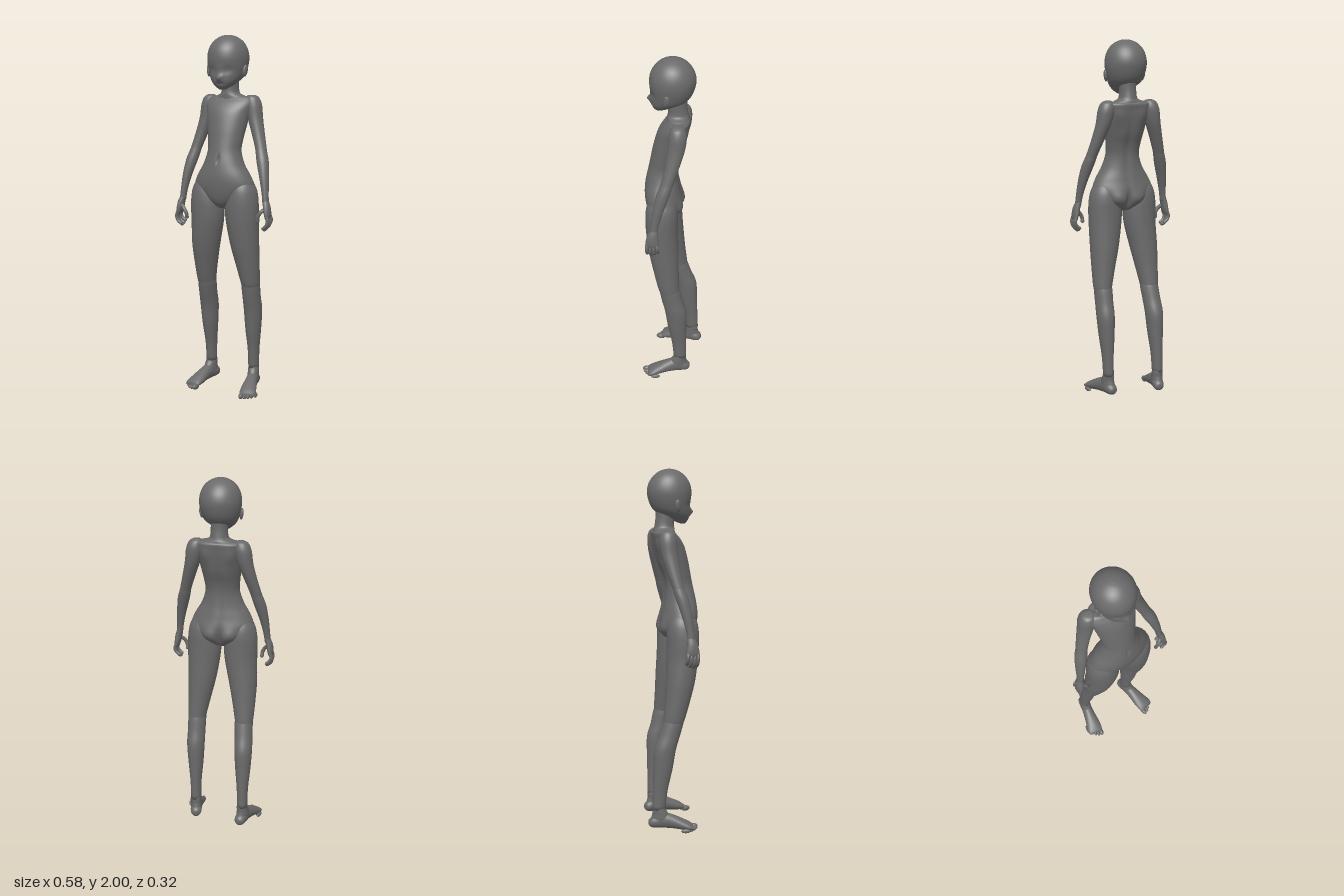
import * as THREE from 'three';
import { mergeVertices } from 'three/addons/utils/BufferGeometryUtils.js';

const material = new THREE.MeshStandardMaterial({ color: 0x6a6a6a });
const bump = (d, w) => Math.exp(-(d * d) / (w * w));

function part(name, geometry, parent) {
  const mesh = new THREE.Mesh(geometry, material);
  mesh.name = name;
  parent.add(mesh);
  return mesh;
}

// Smooth skin through horizontal ellipses, rows listed from the top: [y, x, z, rx, rz].
function loft(rows, { side = 1, seg = 32, steps = 5, rule } = {}) {
  const curve = (f) => new THREE.CatmullRomCurve3(rows.map(f), false, 'catmullrom', 0.5);
  const centre = curve((r) => new THREE.Vector3(r[1] * side, r[0], r[2]));
  const radius = curve((r) => new THREE.Vector3(r[3], r[4], 0));
  const n = (rows.length - 1) * steps;
  const g = new THREE.CylinderGeometry(1, 1, 1, seg, n + 2, true, Math.PI);
  g.deleteAttribute('uv');
  g.deleteAttribute('normal');
  const p = g.attributes.position;
  const v = new THREE.Vector3();
  for (let i = 0; i < p.count; i++) {
    const row = Math.floor(i / (seg + 1)) - 1;
    const t = THREE.MathUtils.clamp(row / n, 0, 1);
    const open = row < 0 || row > n ? 0 : 1; // end rows close to a point
    const c = centre.getPoint(t), r = radius.getPoint(t);
    v.set(c.x + p.getX(i) * r.x * open, c.y, c.z + p.getZ(i) * r.y * open);
    if (rule) rule(v, c);
    p.setXYZ(i, v.x, v.y, v.z);
  }
  const merged = mergeVertices(g, 1e-5);
  merged.computeVertexNormals();
  return merged;
}

function ellipsoid(name, parent, pos, scale) {
  const mesh = part(name, new THREE.SphereGeometry(1, 20, 14), parent);
  mesh.position.set(...pos);
  mesh.scale.set(...scale);
  return mesh;
}

// Rounded finger along a few points
function finger(name, parent, points, r) {
  const pts = points.map((q) => new THREE.Vector3(...q));
  part(name, new THREE.TubeGeometry(new THREE.CatmullRomCurve3(pts), 10, r, 10), parent);
  ellipsoid(name + 'Tip', parent, points[points.length - 1], [r, r, r]);
}

function addHead(root) {
  const head = new THREE.Group();
  head.name = 'head';
  root.add(head);
  part('skull', loft([
    [2.0, 0, 0.001, 0.008, 0.008], [1.995, 0, 0.001, 0.034, 0.035], [1.98, 0, 0.001, 0.064, 0.066],
    [1.955, 0, 0.001, 0.09, 0.093], [1.92, 0, 0.001, 0.107, 0.114], [1.88, 0, 0.001, 0.114, 0.122],
    [1.84, 0, 0.003, 0.111, 0.118], [1.8, 0, 0.009, 0.101, 0.109], [1.77, 0, 0.021, 0.089, 0.096],
    [1.745, 0, 0.044, 0.07, 0.071], [1.722, 0, 0.062, 0.044, 0.042], [1.705, 0, 0.076, 0.016, 0.014],
  ], { seg: 48, rule: (v) => {
    if (v.z < 0.05) return;
    v.z -= 0.008 * bump(Math.abs(v.x) - 0.047, 0.026) * bump(v.y - 1.81, 0.022); // eye hollows
    v.z += 0.019 * bump(v.x, 0.014) * bump(v.y - 1.768, 0.018); // nose
    v.z -= 0.005 * bump(v.x, 0.022) * bump(v.y - 1.738, 0.006); // mouth
  } }), head);
  for (const s of [-1, 1]) {
    const ear = ellipsoid('ear', head, [s * 0.11, 1.807, 0.022], [0.01, 0.033, 0.018]);
    ear.rotation.set(-0.15, s * -0.3, s * -0.15);
  }
}

function addTorso(root) {
  part('neck', loft([
    [1.8, 0, -0.03, 0.045, 0.045], [1.74, 0, -0.025, 0.046, 0.05], [1.7, 0, -0.027, 0.048, 0.053],
    [1.682, 0, -0.028, 0.056, 0.056], [1.67, 0, -0.03, 0.082, 0.058], [1.655, 0, -0.03, 0.1, 0.058],
  ]), root);
  part('torso', loft([
    [1.668, 0, -0.034, 0.115, 0.052], [1.655, 0, -0.033, 0.137, 0.062], [1.625, 0, -0.018, 0.138, 0.073],
    [1.58, 0, -0.002, 0.125, 0.083], [1.5, 0, 0.018, 0.111, 0.086], [1.43, 0, 0.038, 0.1, 0.08],
    [1.37, 0, 0.05, 0.096, 0.08], [1.3, 0, 0.057, 0.118, 0.088], [1.235, 0, 0.056, 0.156, 0.097],
    [1.18, 0, 0.05, 0.174, 0.101], [1.13, 0, 0.047, 0.143, 0.095], [1.09, 0, 0.047, 0.09, 0.08],
    [1.06, 0, 0.047, 0.03, 0.055],
  ], { seg: 96, steps: 8, rule: (v, c) => {
    const x = Math.abs(v.x);
    if (v.z < c.z) {
      v.z += 0.01 * bump(x, 0.024) * bump(v.y - 1.42, 0.17); // spine groove
      v.z += 0.02 * bump(x, 0.014) * bump(v.y - 1.11, 0.06); // cleft
      v.z -= 0.01 * bump(x - 0.075, 0.035) * bump(v.y - 1.59, 0.05); // shoulder blades
      v.z -= 0.02 * bump(x - 0.065, 0.05) * bump(v.y - 1.125, 0.045); // buttocks
    } else {
      v.z -= 0.016 * bump(x, 0.005) * bump(v.y - 1.33, 0.02); // navel
    }
  } }), root);
}

function addArm(root, s, swing) {
  const arm = new THREE.Group();
  arm.name = s > 0 ? 'leftArm' : 'rightArm';
  arm.rotation.x = swing; // turns about the shoulder
  arm.position.z = -1.62 * Math.sin(swing);
  root.add(arm);
  part('upperArm', loft([
    [1.675, 0.122, -0.04, 0.02, 0.02], [1.66, 0.127, -0.04, 0.037, 0.038], [1.62, 0.134, -0.04, 0.046, 0.048],
    [1.55, 0.147, -0.034, 0.042, 0.046], [1.47, 0.171, -0.018, 0.036, 0.039], [1.4, 0.193, 0.0, 0.032, 0.034],
    [1.36, 0.205, 0.012, 0.031, 0.033],
  ], { side: s }), arm);
  part('forearm', loft([
    [1.4, 0.193, 0.002, 0.028, 0.03], [1.36, 0.205, 0.012, 0.032, 0.034], [1.31, 0.219, 0.028, 0.033, 0.035],
    [1.23, 0.237, 0.05, 0.026, 0.03], [1.15, 0.25, 0.067, 0.019, 0.023], [1.09, 0.257, 0.075, 0.017, 0.021],
  ], { side: s }), arm);
  // Hand with loosely curled fingers
  const hand = new THREE.Group();
  hand.name = 'hand';
  hand.position.z = -0.005;
  arm.add(hand);
  part('palm', loft([
    [1.115, 0.254, 0.076, 0.016, 0.02], [1.08, 0.264, 0.083, 0.019, 0.029], [1.04, 0.271, 0.086, 0.017, 0.036],
    [1.015, 0.274, 0.086, 0.012, 0.035],
  ], { side: s, seg: 20 }), hand);
  for (let i = 0; i < 4; i++) {
    const z = 0.058 + i * 0.0187, drop = [0.016, 0.005, 0, 0.008][i];
    finger('finger', hand, [
      [s * 0.273, 1.03, z], [s * 0.281, 1.0 + drop / 2, z], [s * 0.275, 0.97 + drop, z],
      [s * 0.256, 0.953 + drop, z],
    ], 0.0092);
  }
  finger('thumb', hand, [
    [s * 0.258, 1.065, 0.095], [s * 0.236, 1.045, 0.108], [s * 0.222, 1.02, 0.11], [s * 0.22, 0.998, 0.106],
  ], 0.0105);
}

// Leg from hip to toes; the right one stands a little further back
function addLeg(root, s, pose) {
  const { thigh, shin, knee, calf, ankle } = pose;
  const leg = new THREE.Group();
  leg.name = s > 0 ? 'leftLeg' : 'rightLeg';
  root.add(leg);
  part('thigh', loft([
    [1.22, 0.1, 0.05, 0.058, 0.06], [1.17, 0.107, 0.05, 0.077, 0.08], [1.12, 0.106, 0.05, 0.089, 0.088],
    [1.06, 0.104, 0.05, 0.095, 0.089], [0.97, 0.107, 0.046, 0.091, 0.087], [0.85, ...thigh, 0.08, 0.081],
    [0.74, ...shin, 0.066, 0.07], [0.64, ...knee, 0.053, 0.06], [0.61, knee[0], knee[1] - 0.006, 0.048, 0.054],
  ], { side: s }), leg);
  part('shin', loft([
    [0.66, knee[0], knee[1] + 0.002, 0.045, 0.052], [0.62, knee[0], knee[1] - 0.006, 0.051, 0.058],
    [0.55, (knee[0] + calf[0]) / 2, (knee[1] + calf[1]) / 2, 0.05, 0.059], [0.47, ...calf, 0.05, 0.061],
    [0.36, (calf[0] * 2 + ankle[0]) / 3, (calf[1] * 2 + ankle[1]) / 3, 0.043, 0.054],
    [0.24, (calf[0] + ankle[0] * 2) / 3, (calf[1] + ankle[1] * 3) / 4, 0.032, 0.042], [0.13, ...ankle, 0.029, 0.037],
  ], { side: s }), leg);

  const foot = new THREE.Group();
  foot.name = 'foot';
  foot.position.set(s * ankle[0], 0, ankle[1]);
  foot.rotation.y = s * pose.yaw;
  leg.add(foot);
  part('ankle', loft([
    [0.15, 0, 0, 0.026, 0.033], [0.128, 0, 0.001, 0.03, 0.038], [0.105, 0, 0.008, 0.031, 0.045],
    [0.07, 0, 0.012, 0.032, 0.058], [0.04, 0, 0.012, 0.028, 0.055],
  ]), foot);
  // Rows run from ball to heel, then the skin is laid down along z
  const sole = loft([
    [0.192, 0.002, -0.024, 0.04, 0.012], [0.17, 0.002, -0.03, 0.046, 0.022], [0.13, 0, -0.042, 0.043, 0.031],
    [0.08, 0, -0.057, 0.036, 0.039], [0.03, 0, -0.066, 0.032, 0.044], [-0.02, 0, -0.06, 0.032, 0.036],
    [-0.045, 0, -0.055, 0.026, 0.026], [-0.057, 0, -0.055, 0.012, 0.013],
  ], { side: s });
  sole.rotateX(Math.PI / 2);
  part('footBody', sole, foot);
  for (let i = 0; i < 5; i++) {
    const r = i ? 0.0098 : 0.014;
    ellipsoid('toe', foot, [s * (-0.03 + i * 0.0175 + (i ? 0.003 : 0)), r + 0.003, 0.194 - i * i * 0.0028],
      [r, r + 0.002, 0.027]);
  }
}

export function createModel() {
  const root = new THREE.Group();
  root.name = 'figure';
  addHead(root);
  addTorso(root);
  addArm(root, 1, 0);
  addArm(root, -1, 0.035);
  addLeg(root, 1, {
    thigh: [0.116, 0.035], shin: [0.128, 0.022], knee: [0.138, 0.008],
    calf: [0.138, -0.033], ankle: [0.132, -0.058], yaw: 0.2,
  });
  addLeg(root, -1, {
    thigh: [0.122, 0.033], shin: [0.132, 0.014], knee: [0.139, -0.007],
    calf: [0.148, -0.062], ankle: [0.153, -0.1], yaw: 0.2,
  });
  return root;
}
